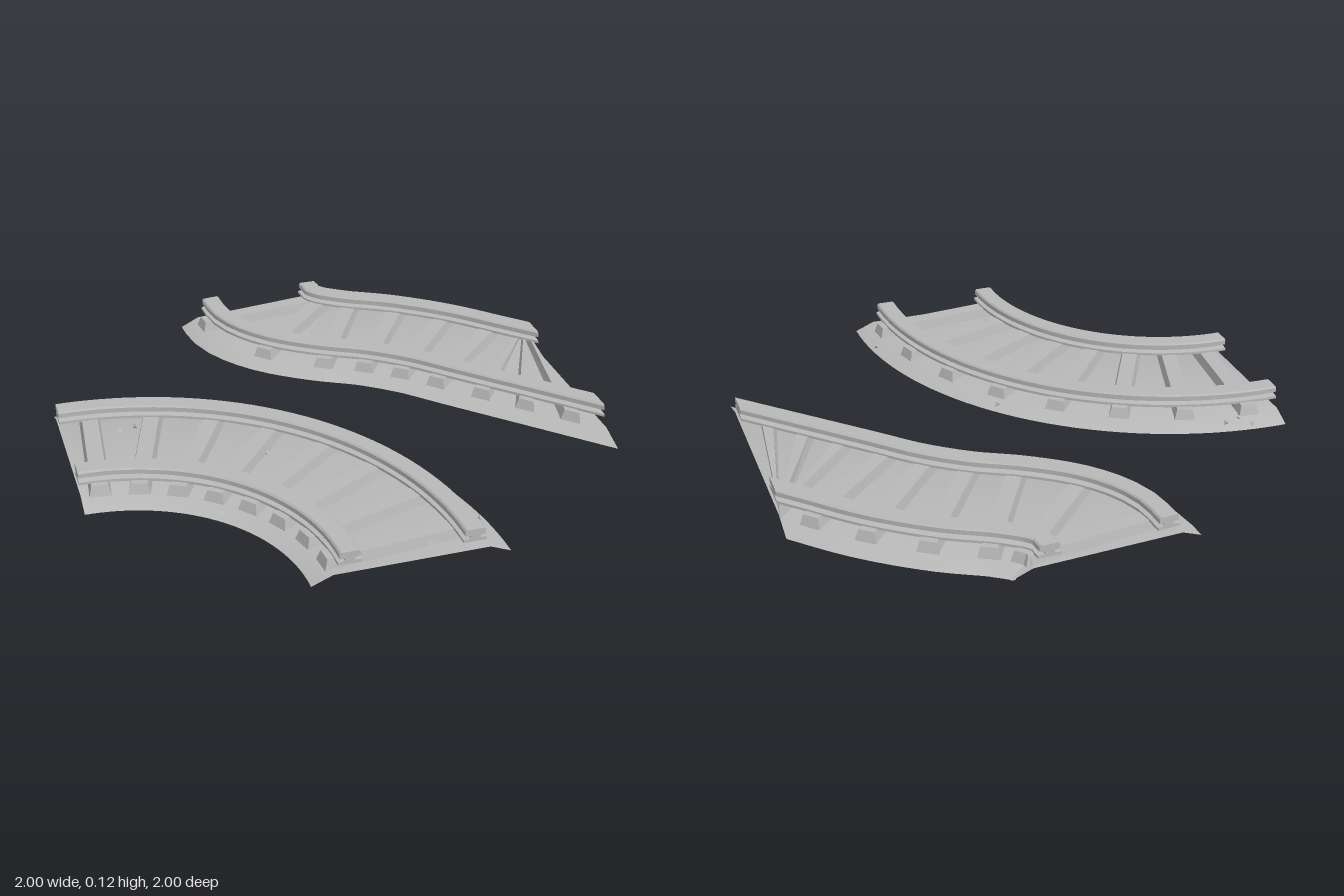
import * as THREE from 'three';
import { toCreasedNormals } from 'three/addons/utils/BufferGeometryUtils.js';

// Cross-sections as [offset across the track, height]
const BED = [[0.357, 0], [0.28, 0.032], [-0.28, 0.032], [-0.357, 0]];
const RAIL = [
  [-0.042, 0.066], [0.042, 0.066], [0.042, 0.076], [0.018, 0.08], [0.018, 0.088], [0.037, 0.092],
  [0.037, 0.109], [0.031, 0.115], [-0.031, 0.115], [-0.037, 0.109], [-0.037, 0.092],
  [-0.018, 0.088], [-0.018, 0.08], [-0.042, 0.076],
];

// Point at offset o, height y and distance s along the tangent, trimmed to the square tile
function place(f, o, y, s = 0) {
  let x = f.x + f.tz * o + f.tx * s;
  let z = f.z - f.tx * o + f.tz * s;
  if (x > 1) {
    z -= (f.tz / f.tx) * (x - 1);
    x = 1;
  }
  return new THREE.Vector3(x, y, Math.max(z, -1));
}

// Sweep a cross-section along a path; closed sections get end caps
function sweep(path, profile, shift, closed, steps) {
  const rings = [];
  for (let i = 0; i <= steps; i++) {
    const f = path(i / steps);
    rings.push(profile.map(([o, y]) => place(f, o + shift, y)));
  }
  const pts = [];
  const n = profile.length;
  for (let i = 0; i < steps; i++) {
    for (let j = 0; j < (closed ? n : n - 1); j++) {
      const k = (j + 1) % n;
      const a = rings[i][j], b = rings[i][k], c = rings[i + 1][k], d = rings[i + 1][j];
      pts.push(a, b, c, a, c, d);
    }
  }
  if (closed) {
    const flat = profile.map(([o, y]) => new THREE.Vector2(o, y));
    for (const [a, b, c] of THREE.ShapeUtils.triangulateShape(flat, [])) {
      pts.push(rings[0][c], rings[0][b], rings[0][a]);
      pts.push(rings[steps][a], rings[steps][b], rings[steps][c]);
    }
  }
  return toCreasedNormals(new THREE.BufferGeometry().setFromPoints(pts), 0.4);
}

// Tapered wooden tie laid across the track; null when it lies beyond the tile
function tieGeometry(f) {
  const g = new THREE.BoxGeometry(0.6, 0.04, 0.08).toNonIndexed();
  const p = g.attributes.position;
  let minX = Infinity;
  for (let i = 0; i < p.count; i++) {
    const top = p.getY(i) > 0;
    const v = place(f, p.getX(i) * (top ? 0.96 : 1), top ? 0.069 : 0.03, p.getZ(i) * (top ? 0.75 : 1));
    minX = Math.min(minX, v.x);
    p.setXYZ(i, v.x, v.y, v.z);
  }
  if (minX > 0.9) return null;
  g.computeVertexNormals();
  return g;
}

function buildTrack(name, path, steps, ties, material) {
  const track = new THREE.Group();
  track.name = name;
  const add = (part, geometry) => {
    const mesh = new THREE.Mesh(geometry, material);
    mesh.name = part;
    track.add(mesh);
  };
  add('gravelBed', sweep(path, BED, 0, false, steps));
  add('outerRail', sweep(path, RAIL, 0.222, true, steps));
  add('innerRail', sweep(path, RAIL, -0.222, true, steps));
  for (let i = 0; i < ties; i++) {
    const g = tieGeometry(path((i + 0.5) / ties));
    if (g) add('tie', g);
  }
  return track;
}

export function createModel() {
  const model = new THREE.Group();
  model.name = 'railTracks';
  const grey = new THREE.MeshStandardMaterial({ color: 0xb8b8b8, side: THREE.DoubleSide });
  grey.name = 'stoneGrey';

  // Quarter-circle curve around the front right corner
  const quarter = (u) => {
    const a = (u * Math.PI) / 2;
    return { x: -1 + Math.sin(a), z: 1 - Math.cos(a), tx: Math.cos(a), tz: Math.sin(a) };
  };
  model.add(buildTrack('quarterCurve', quarter, 36, 8, grey));

  // Bend from the back edge into a diagonal run
  const curve = new THREE.CatmullRomCurve3(
    [[0, -1], [0.015, -0.87], [0.085, -0.76], [0.22, -0.655], [0.4, -0.555],
      [0.58, -0.42], [0.75, -0.25], [1, 0], [1.3, 0.3]].map(([x, z]) => new THREE.Vector3(x, 0, z)));
  const bend = (u) => {
    const p = curve.getPointAt(u);
    const t = curve.getTangentAt(u);
    return { x: p.x, z: p.z, tx: t.x, tz: t.z };
  };
  model.add(buildTrack('diagonalBend', bend, 48, 10, grey));

  // Loose pebbles scattered over the quarter curve
  const pebble = new THREE.TetrahedronGeometry(0.014);
  const spots = [[-0.87, -0.33], [-0.83, -0.29], [-0.77, -0.3], [-0.78, -0.12], [-0.72, -0.13], [-0.53, -0.02],
    [-0.29, 0.2], [0.01, 0.14], [-0.54, 0.51], [-0.18, 0.83], [0.09, 0.93], [0.32, 0.8]];
  spots.forEach(([x, z], i) => {
    const mesh = new THREE.Mesh(pebble, grey);
    mesh.name = 'pebble';
    const off = Math.abs(Math.hypot(x + 1, z - 1) - 1);
    mesh.position.set(x, off > 0.28 ? 0.032 - (off - 0.28) * 0.42 + 0.004 : 0.036, z);
    mesh.rotation.y = i * 1.3;
    model.add(mesh);
  });
  return model;
}
